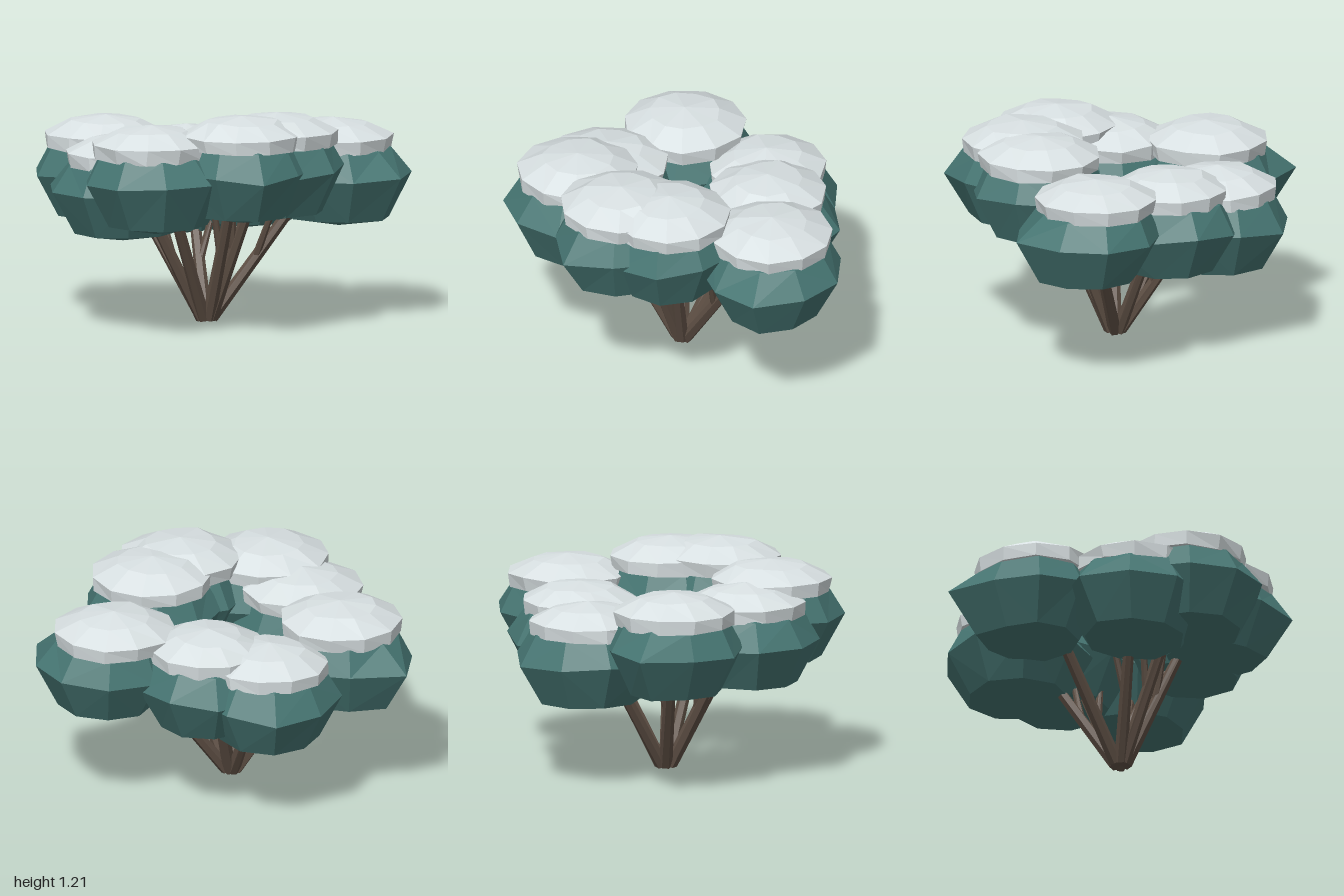
import * as THREE from 'three';
import { mergeVertices } from 'three/addons/utils/BufferGeometryUtils.js';

const mat = (name, color) => {
  const m = new THREE.MeshStandardMaterial({ color });
  m.name = name;
  return m;
};

// Seeded jitter in -1..1
let seed = 7;
const rnd = () => {
  seed = (seed * 16807) % 2147483647;
  return (seed / 2147483647) * 2 - 1;
};

// Facet a geometry: shared corners are jittered, then split for flat normals
function facet(geo, amount) {
  geo.deleteAttribute('uv');
  geo.deleteAttribute('normal');
  const merged = mergeVertices(geo, 1e-4);
  const p = merged.attributes.position;
  for (let i = 0; i < p.count; i++) {
    p.setXYZ(i, p.getX(i) + rnd() * amount, p.getY(i) + rnd() * amount, p.getZ(i) + rnd() * amount);
  }
  const flat = merged.toNonIndexed();
  flat.computeVertexNormals();
  return flat;
}

// Leaf rings from bottom to top: height and share of the widest outline
const leafRings = [[-0.235, 0.68], [0, 1], [0.145, 0.8], [0.2, 0.52]];
const sides = 9;

// Angular clump: one corner reaches out furthest, the upper rings tuck under the cap
function leafClump({ x, y, z, r, angle, reach, capX, capZ, capR }) {
  const outline = [];
  for (let i = 0; i < sides; i++) {
    const a = angle + (i / sides) * Math.PI * 2;
    const d = i === 0 ? reach : r * (1 - 0.07 * Math.abs(rnd()));
    outline.push([x + Math.cos(a) * d, z + Math.sin(a) * d]);
  }
  const pos = [x, y - 0.285, z];
  for (const [h, f] of leafRings) {
    const ox = h > 0 ? capX : x;
    const oz = h > 0 ? capZ : z;
    for (const [px, pz] of outline) {
      const limit = (capR * f * 1.2) / Math.hypot(px - ox, pz - oz);
      const s = h > 0 ? Math.min(f, limit) : f;
      pos.push(ox + (px - ox) * s, y + h + (h === 0 ? rnd() * 0.02 : 0), oz + (pz - oz) * s);
    }
  }
  pos.push(capX, y + 0.25, capZ);
  const top = pos.length / 3 - 1;
  const index = [];
  for (let i = 0; i < sides; i++) {
    const j = (i + 1) % sides;
    index.push(0, 1 + i, 1 + j);
    for (let k = 0; k < leafRings.length - 1; k++) {
      const a = 1 + k * sides;
      const b = a + sides;
      if (i % 2) index.push(a + i, b + i, b + j, a + i, b + j, a + j);
      else index.push(a + i, b + i, a + j, a + j, b + i, b + j);
    }
    index.push(top - sides + i, top, top - sides + j);
  }
  const geo = new THREE.BufferGeometry();
  geo.setAttribute('position', new THREE.Float32BufferAttribute(pos, 3));
  geo.setIndex(index);
  return facet(geo, 0.004);
}

// Shallow dome with a short upright rim
function snowCap({ y, capX, capZ, capR }) {
  const profile = [[0, 0.13], [0.97, 0.135], [1, 0.21], [0.58, 0.28], [0, 0.31]];
  const geo = new THREE.LatheGeometry(profile.map(([s, h]) => new THREE.Vector2(s * capR, h)), 11);
  geo.translate(capX, y, capZ);
  return facet(geo, 0.006);
}

// Straight tapered limb between two points
function limb(from, to, r0, r1) {
  const dir = to.clone().sub(from);
  const geo = new THREE.CylinderGeometry(r1, r0, dir.length(), 6);
  geo.applyQuaternion(new THREE.Quaternion().setFromUnitVectors(new THREE.Vector3(0, 1, 0), dir.clone().normalize()));
  const mid = from.clone().add(to).multiplyScalar(0.5);
  geo.translate(mid.x, mid.y, mid.z);
  return facet(geo, 0.002);
}

// Clumps in order around the crown, starting at the back left
const clumps = [
  { x: 0.56, y: 0.79, z: -0.57, r: 0.41, angle: 0.03, reach: 0.43, capX: 0.51, capZ: -0.57, capR: 0.335 },
  { x: 0.55, y: 0.89, z: -0.01, r: 0.39, angle: 0, reach: 0.4, capX: 0.56, capZ: -0.01, capR: 0.335 },
  { x: 0.53, y: 0.9, z: 0.25, r: 0.39, angle: 0.67, reach: 0.43, capX: 0.52, capZ: 0.26, capR: 0.335 },
  { x: 0.17, y: 0.85, z: 0.57, r: 0.42, angle: 1.47, reach: 0.4, capX: 0.14, capZ: 0.57, capR: 0.33 },
  { x: -0.13, y: 0.77, z: 0.47, r: 0.42, angle: 2.91, reach: 0.43, capX: -0.12, capZ: 0.45, capR: 0.335 },
  { x: -0.55, y: 0.79, z: 0.1, r: 0.39, angle: 3.46, reach: 0.474, capX: -0.53, capZ: 0.1, capR: 0.335 },
  { x: -0.33, y: 0.69, z: -0.38, r: 0.42, angle: 4.15, reach: 0.425, capX: -0.34, capZ: -0.39, capR: 0.325 },
  { x: 0, y: 0.74, z: -0.46, r: 0.4, angle: 4.81, reach: 0.4, capX: 0, capZ: -0.46, capR: 0.32 },
];

export function createModel() {
  const tree = new THREE.Group();
  tree.name = 'snowyTree';
  const bark = mat('bark brown', 0x5f5045);
  const leaf = mat('leaf teal', 0x467572);
  const snow = mat('snow white', 0xd8e0e2);

  const add = (name, geo, material) => {
    const mesh = new THREE.Mesh(geo, material);
    mesh.name = name;
    tree.add(mesh);
  };

  const base = new THREE.Vector3(0.085, 0.022, 0);
  for (const clump of clumps) {
    const { x, y, z } = clump;
    add('leafClump', leafClump(clump), leaf);
    add('snowCap', snowCap(clump), snow);

    // Limb spreading from the foot into the clump
    const out = new THREE.Vector3(x - base.x, 0, z - base.z);
    const foot = base.clone().addScaledVector(out.clone().normalize(), 0.028);
    const tip = new THREE.Vector3(base.x + out.x * 0.77, y - 0.05, base.z + out.z * 0.77);
    add('limb', limb(foot, tip, 0.036, 0.028), bark);

    // Thin side branch leaving the limb
    const fork = foot.clone().lerp(tip, 0.45);
    const side = new THREE.Vector3(base.x + out.x * 0.5 - out.z * 0.18, y - 0.08, base.z + out.z * 0.5 + out.x * 0.18);
    add('sideBranch', limb(fork, side, 0.022, 0.014), bark);
  }
  return tree;
}
